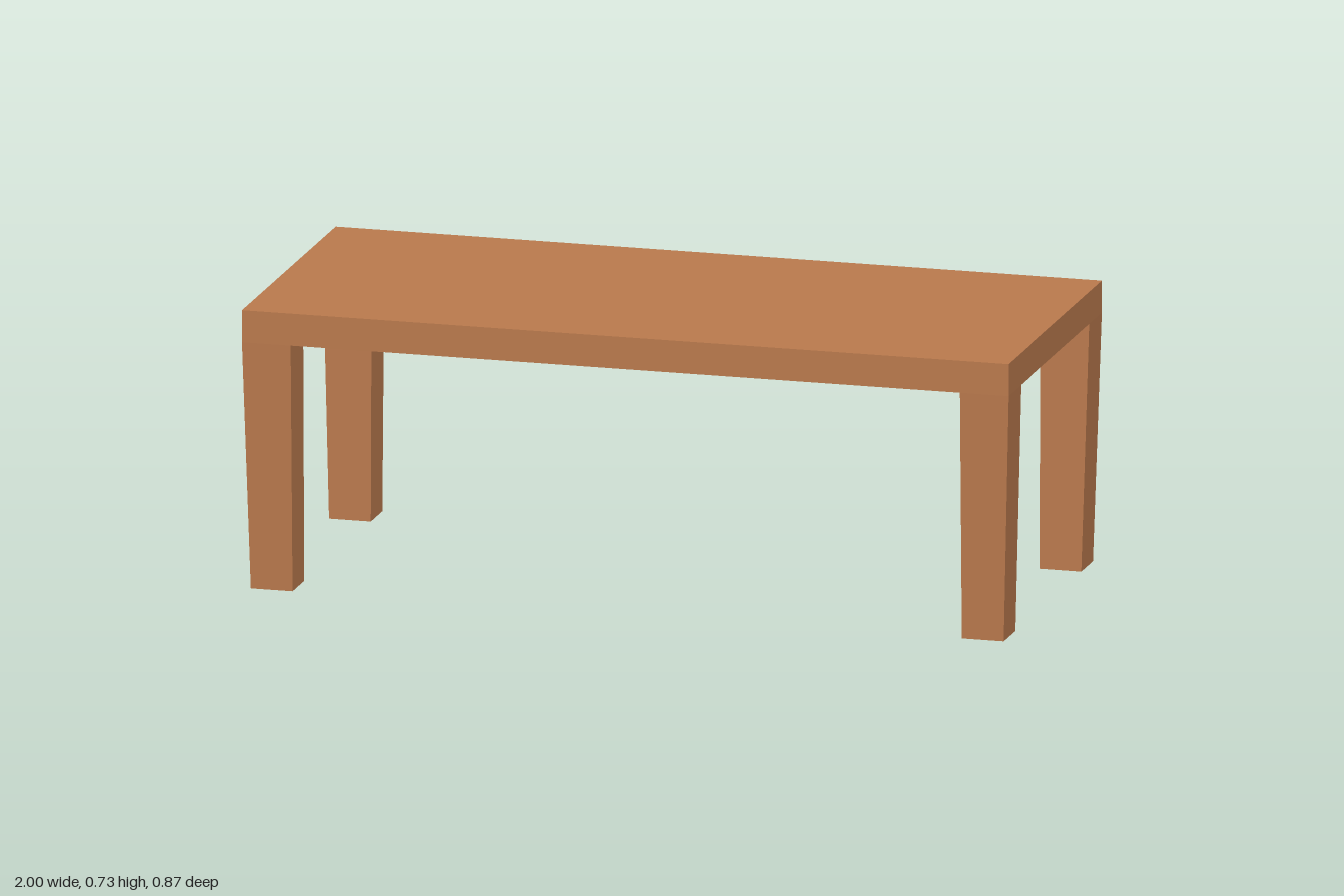
import * as THREE from 'three';

const TOP = 0.725, UNDER = 0.642;   // table top: upper and lower faces
const HALF_X = 1, HALF_Z = 0.435;

// Inner and outer leg edges in x and z, at the head and at the foot
const HEAD = { x: [0.873, 1], z: [0.318, HALF_Z] };
const FOOT = { x: [0.873, 0.982], z: [0.309, 0.417] };

// Tapered leg for the corner given by the signs sx, sz
function legGeometry(sx, sz) {
  const geometry = new THREE.BoxGeometry(1, 1, 1);
  const p = geometry.attributes.position;
  for (let i = 0; i < p.count; i++) {
    const end = p.getY(i) > 0 ? HEAD : FOOT;
    const outerX = p.getX(i) * sx > 0 ? 1 : 0;
    const outerZ = p.getZ(i) * sz > 0 ? 1 : 0;
    p.setXYZ(i, sx * end.x[outerX], end === HEAD ? UNDER : 0, sz * end.z[outerZ]);
  }
  geometry.computeVertexNormals();
  return geometry;
}

export function createModel() {
  const table = new THREE.Group();
  table.name = 'table';
  const wood = new THREE.MeshStandardMaterial({ color: 0xb9794d, flatShading: true });

  const add = (name, geometry) => {
    const mesh = new THREE.Mesh(geometry, wood);
    mesh.name = name;
    table.add(mesh);
    return mesh;
  };

  // Table top
  add('tableTop', new THREE.BoxGeometry(2 * HALF_X, TOP - UNDER, 2 * HALF_Z))
    .position.y = (TOP + UNDER) / 2;

  // Four corner legs
  for (const [sz, end] of [[1, 'front'], [-1, 'back']])
    for (const [sx, side] of [[1, 'Left'], [-1, 'Right']])
      add(`${end}${side}Leg`, legGeometry(sx, sz));

  return table;
}
